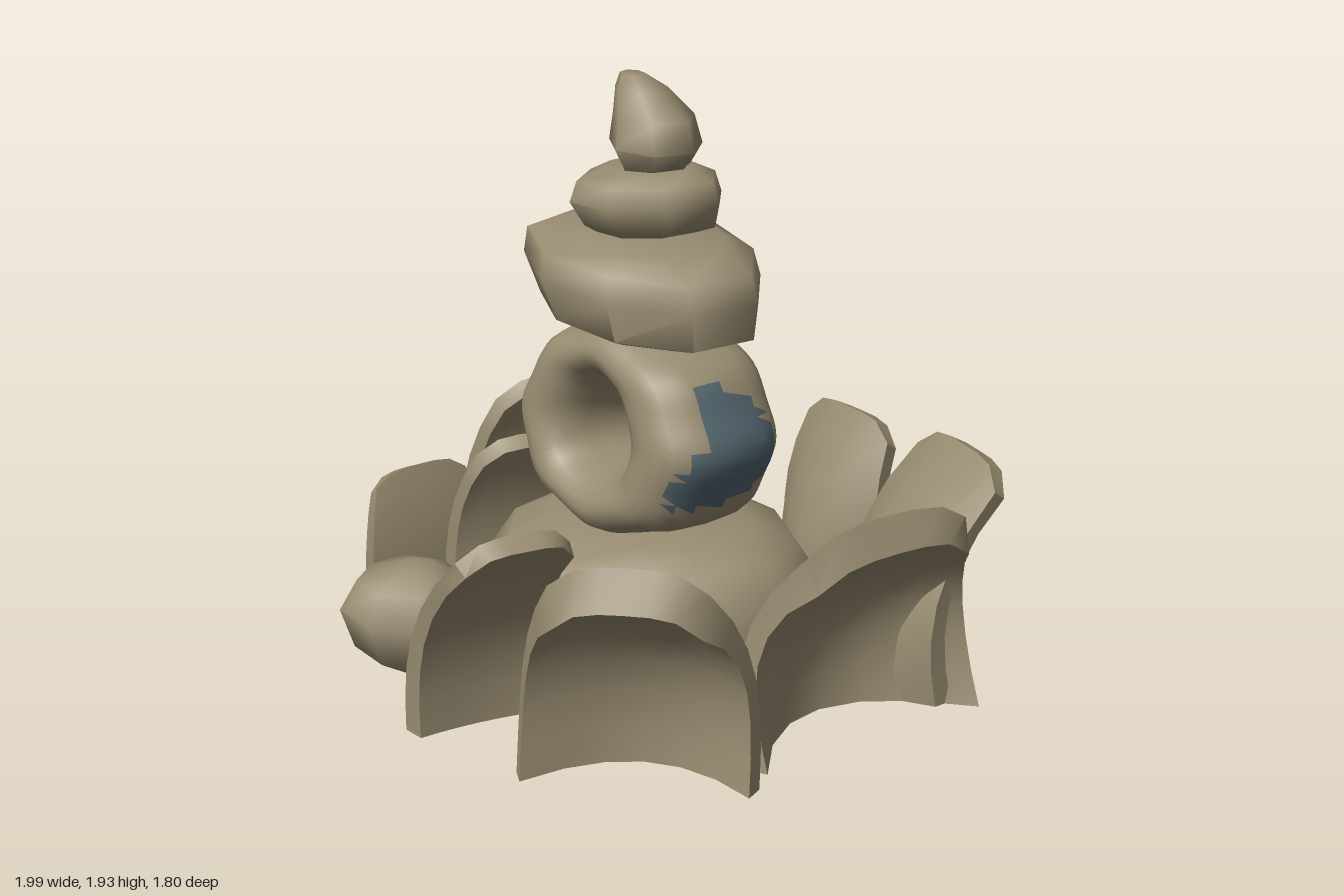
import * as THREE from 'three';
import { toCreasedNormals, mergeVertices } from 'three/addons/utils/BufferGeometryUtils.js';

const stoneMat = new THREE.MeshStandardMaterial({ color: 0x988c71 });
stoneMat.name = 'sandstone';
const patchMat = new THREE.MeshStandardMaterial({ color: 0x53666e });
patchMat.name = 'slate blue';

function add(group, name, geometry, material = stoneMat) {
  const mesh = new THREE.Mesh(geometry, material);
  mesh.name = name;
  group.add(mesh);
  return mesh;
}

// Boulder lofted through rings of [y, centreX, centreZ, radiusX, radiusZ]
function boulder(rings, { sides = 10, turn = 0, tilt = 0, wobble = 0.04, crease = 1.1 } = {}) {
  const pos = [], index = [];
  const put = (x, y, z, cx) => pos.push(x, y + tilt * (x - cx), z);
  rings.forEach(([y, cx, cz, rx, rz]) => {
    for (let i = 0; i < sides; i++) {
      const a = turn + (i / sides) * Math.PI * 2;
      const k = 1 + wobble * Math.sin(i * 2.4 + turn * 5);
      put(cx + Math.cos(a) * rx * k, y, cz - Math.sin(a) * rz * k, cx);
    }
  });
  for (let r = 0; r < rings.length - 1; r++) {
    for (let i = 0; i < sides; i++) {
      const a = r * sides + i, b = r * sides + (i + 1) % sides;
      index.push(a, b, b + sides, a, b + sides, a + sides);
    }
  }
  // Caps
  const last = (rings.length - 1) * sides, low = rings[0], top = rings[rings.length - 1];
  put(low[1], low[0], low[2], low[1]);
  put(top[1], top[0], top[2], top[1]);
  const c = rings.length * sides;
  for (let i = 0; i < sides; i++) {
    const j = (i + 1) % sides;
    index.push(c, j, i, c + 1, last + i, last + j);
  }
  const g = new THREE.BufferGeometry();
  g.setAttribute('position', new THREE.Float32BufferAttribute(pos, 3));
  g.setIndex(index);
  return toCreasedNormals(g, crease);
}

// Upright slab that curls over towards its local +z, with a hollow face on that side.
// Its foot is bowed by "bend"; its lip runs nearly straight and hangs down by "droop".
function slab({ w, h, lean, bend, thick = 0.09, taper = 0.25, droop = 0.03 }) {
  let g = new THREE.BoxGeometry(2, 1, 1, 6, 6, 1);
  g.deleteAttribute('normal');
  g.deleteAttribute('uv');
  g = mergeVertices(g);
  const p = g.attributes.position;
  for (let i = 0; i < p.count; i++) {
    const u = p.getX(i), v = p.getY(i) + 0.5, front = p.getZ(i) > 0 ? 1 : 0;
    const x = u * (w / 2) * (1 - taper * v ** 3) * (1 - 0.06 * front);
    const y = 0.04 + h * v * (1 - 0.1 * u ** 4) - front * droop * v ** 3;
    const z = lean * v ** 2.4 * (1 - 0.12 * u ** 4) + bend * u * u * (1 - 0.85 * v)
      + front * thick * (1 - 0.3 * u * u) * (1 - 0.35 * v);
    p.setXYZ(i, x, y, z);
  }
  return toCreasedNormals(g, 0.7);
}

// Upright ring stone with an off-centre hole and a blue patch on its left flank
function ringStone() {
  let g = new THREE.TorusGeometry(2, 1, 20, 64);
  const p = g.attributes.position, cx = -0.03, cy = 0.835, cz = -0.045;
  for (let i = 0; i < p.count; i++) {
    const x = p.getX(i), y = p.getY(i), z = p.getZ(i);
    const t = (Math.hypot(x, y) - 1) / 2;
    const a = Math.atan2(y, x);
    const k = 1 + 0.025 * Math.cos(a * 8);
    const rx = THREE.MathUtils.lerp(0.13 * (1 - 0.3 * Math.sin(a)), 0.43 * k, t);
    const ry = THREE.MathUtils.lerp(0.15, 0.335 * k, t);
    const depth = 0.24 - (z > 0 ? 0.025 * Math.sin(a) : 0);
    p.setXYZ(i,
      cx - 0.03 * (1 - t) + Math.cos(a) * rx,
      cy + 0.015 * (1 - t) + Math.sin(a) * ry,
      cz + depth * Math.sign(z) * Math.abs(z) ** 0.7);
  }
  g.deleteAttribute('normal');
  g.deleteAttribute('uv');
  g = toCreasedNormals(mergeVertices(g, 1e-4), 0.9);
  // One group per triangle: the patch narrows towards its top and bottom
  const q = g.attributes.position;
  for (let i = 0; i < q.count; i += 3) {
    const mid = (f) => (q[f](i) + q[f](i + 1) + q[f](i + 2)) / 3;
    const x = mid('getX'), y = mid('getY'), z = mid('getZ');
    const up = Math.max(0, y - 0.75) / 0.29, down = Math.max(0, 0.75 - y);
    const frontEdge = Math.max(0.03, 0.17 - 0.2 * up) - 0.3 * down;
    const backEdge = -0.23 + 0.08 * up + 1.6 * Math.max(0, y - 0.96) + 1.5 * down;
    const inside = x > 0.27 && y > 0.67 && y < 1.045 && z < frontEdge && z > backEdge;
    g.addGroup(i, 3, inside ? 1 : 0);
  }
  return g;
}

export function createModel() {
  const model = new THREE.Group();
  model.name = 'stackedStones';

  // Central stack
  add(model, 'baseStone', boulder([
    [0.02, -0.04, -0.06, 0.36, 0.34], [0.05, -0.04, -0.06, 0.51, 0.47],
    [0.18, -0.04, -0.06, 0.58, 0.54], [0.34, -0.04, -0.06, 0.56, 0.53],
    [0.46, -0.04, -0.06, 0.48, 0.45], [0.52, -0.04, -0.06, 0.36, 0.3],
  ], { sides: 11, turn: 0.2, wobble: 0.03 }));

  add(model, 'ringStone', ringStone(), [stoneMat, patchMat]);

  add(model, 'wideStone', boulder([
    [1.17, -0.01, -0.04, 0.27, 0.24], [1.2, -0.02, -0.05, 0.37, 0.32],
    [1.32, -0.05, -0.05, 0.41, 0.345], [1.4, -0.06, -0.05, 0.39, 0.33],
    [1.445, -0.06, -0.05, 0.28, 0.24],
  ], { sides: 9, turn: 0.3, tilt: -0.08 }));

  add(model, 'upperStone', boulder([
    [1.45, -0.06, -0.08, 0.15, 0.17], [1.475, -0.05, -0.08, 0.21, 0.21],
    [1.55, -0.06, -0.07, 0.24, 0.24], [1.615, -0.06, -0.07, 0.215, 0.22],
    [1.65, -0.06, -0.07, 0.14, 0.14],
  ], { sides: 8, turn: 0.35, tilt: 0.03 }));

  add(model, 'topStone', boulder([
    [1.64, -0.04, -0.08, 0.09, 0.11], [1.72, -0.035, -0.075, 0.15, 0.15],
    [1.81, -0.045, -0.075, 0.13, 0.13], [1.89, -0.08, -0.055, 0.08, 0.085],
    [1.935, -0.09, -0.03, 0.04, 0.04],
  ], { sides: 7, turn: 0.2, tilt: -0.06 }));

  // Small loose boulder
  add(model, 'looseBoulder', boulder([
    [0.01, -0.46, 0.53, 0.07, 0.07], [0.07, -0.51, 0.53, 0.21, 0.18],
    [0.2, -0.52, 0.53, 0.225, 0.225], [0.3, -0.52, 0.53, 0.17, 0.17],
    [0.355, -0.49, 0.53, 0.05, 0.06],
  ], { sides: 8, turn: 0.3, tilt: -0.06 }));

  // Curled slabs around the stack: position and the direction each one curls towards
  const slabs = [
    ['frontSlab', -0.06, 0.66, 0.97, 0.18, { w: 0.44, h: 0.71, lean: 0.39, bend: 0.05, thick: 0.11, taper: 0.15 }],
    ['frontLeftSlab', 0.52, 0.4, 0.66, 0.75, { w: 0.72, h: 0.73, lean: 0.38, bend: 0.22, taper: 0.35, droop: 0.12 }],
    ['leftSlab', 0.54, -0.19, 1, 0.06, { w: 0.88, h: 0.73, lean: 0.39, bend: 0.3, taper: 0.3, droop: 0.1 }],
    ['backLeftSlab', 0.53, -0.4, 0.28, -0.96, { w: 0.56, h: 0.74, lean: 0.38, bend: 0.16, taper: 0.1 }],
    ['backSlab', 0.03, -0.6, 0.1, -1, { w: 0.5, h: 0.7, lean: 0.22, bend: 0.2, thick: 0.1, taper: 0.15 }],
    ['backRightSlab', -0.93, -0.33, 0.95, 0.25, { w: 0.68, h: 0.73, lean: 0.19, bend: 0.03, thick: 0.09 }],
    ['innerRightSlab', -0.74, -0.08, 0.94, 0.33, { w: 0.56, h: 0.62, lean: 0.19, bend: 0.02 }],
    ['smallRightSlab', -0.84, 0.21, -1, 0, { w: 0.48, h: 0.46, lean: 0.08, bend: 0.02, thick: 0.11 }],
  ];
  for (const [name, x, z, dx, dz, shape] of slabs) {
    const mesh = add(model, name, slab(shape));
    mesh.position.set(x, 0, z);
    mesh.rotation.y = Math.atan2(dx, dz);
  }
  return model;
}
